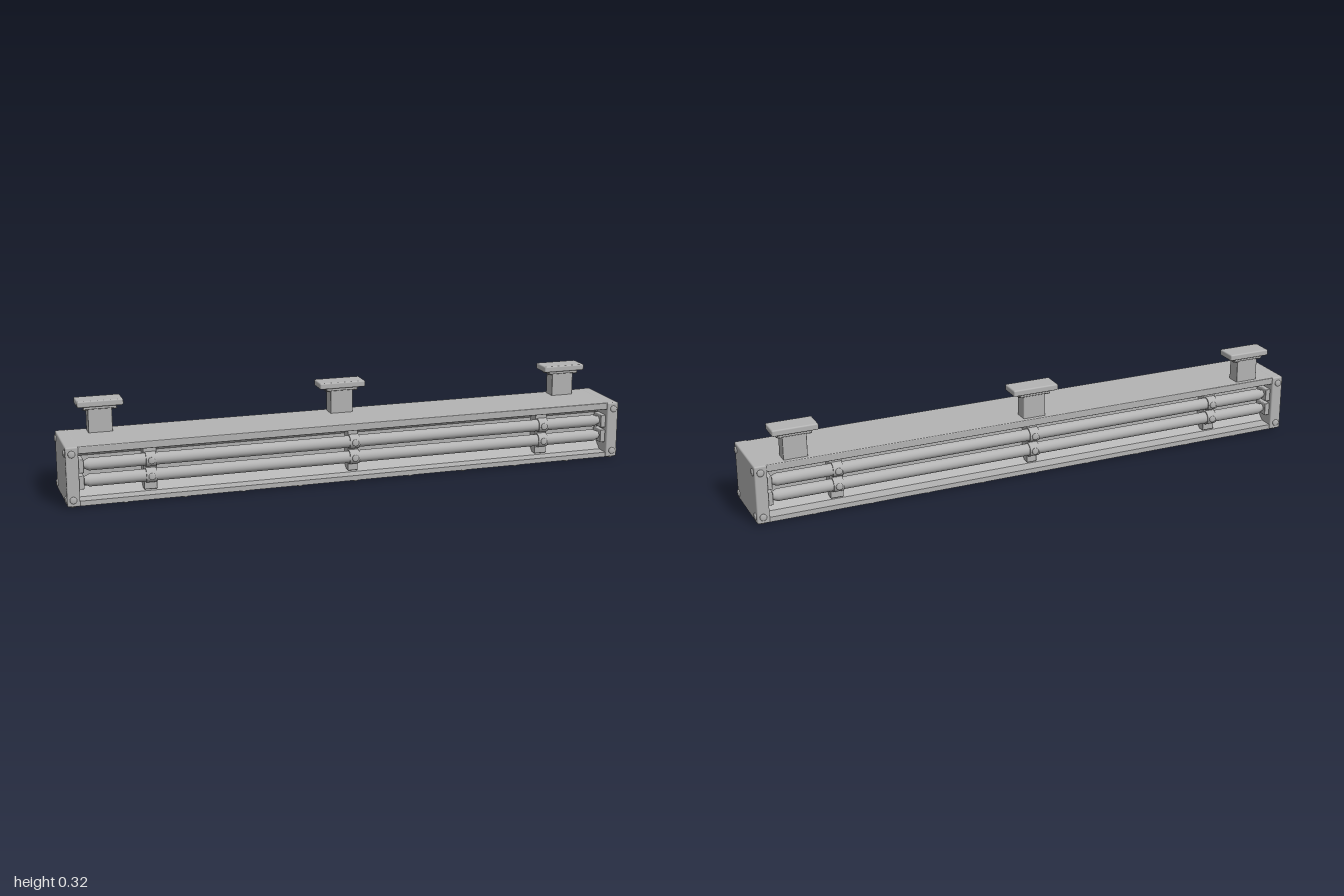
import * as THREE from 'three';
import { RoundedBoxGeometry } from 'three/addons/geometries/RoundedBoxGeometry.js';

export function createModel() {
  const model = new THREE.Group();
  const metal = new THREE.MeshStandardMaterial({ color: 0xb4b4b4 });
  metal.name = 'grey metal';

  const add = (name, geometry, x, y, z, parent = model) => {
    const mesh = new THREE.Mesh(geometry, metal);
    mesh.name = name;
    mesh.position.set(x, y, z);
    parent.add(mesh);
    return mesh;
  };
  const box = (name, w, h, d, x, y, z, parent, r = 0.003) =>
    add(name, new RoundedBoxGeometry(w, h, d, 2, r), x, y, z, parent);
  const rect = (shape, w, h) => {
    shape.moveTo(-w, -h).lineTo(w, -h).lineTo(w, h).lineTo(-w, h).closePath();
    return shape;
  };
  // Bolt head: a low cylinder with a bevelled crown, pointing along dir
  const boltShape = new THREE.LatheGeometry([
    [0.012, 0], [0.012, 0.003], [0.008, 0.005], [0, 0.005],
  ].map(p => new THREE.Vector2(...p)), 10);
  const up = new THREE.Vector3(0, 1, 0);
  const bolt = (x, y, z, dir, parent) => {
    const mesh = add('bolt', boltShape, x, y, z, parent);
    mesh.quaternion.setFromUnitVectors(up, new THREE.Vector3(...dir));
  };

  // Housing: roof, floor with a hatch opening, and the folded lips
  box('roof', 1.94, 0.025, 0.228, 0, 0.194, -0.001);
  const floorShape = rect(new THREE.Shape(), 0.97, 0.114);
  floorShape.holes.push(rect(new THREE.Path(), 0.07, 0.045));
  const floor = new THREE.ExtrudeGeometry(floorShape, { depth: 0.017, bevelEnabled: false });
  floor.rotateX(-Math.PI / 2);
  add('floor', floor, 0, 0.005, 0);
  const rimShape = rect(new THREE.Shape(), 0.085, 0.056);
  rimShape.holes.push(rect(new THREE.Path(), 0.07, 0.045));
  const rim = new THREE.ExtrudeGeometry(rimShape, { depth: 0.004, bevelEnabled: false });
  rim.rotateX(-Math.PI / 2);
  add('hatchRim', rim, 0, 0.002, 0);
  box('hatchPanel', 0.15, 0.006, 0.1, 0, 0.021, 0);

  // Central reflector, waisted towards the middle
  const waist = new THREE.Shape([
    [-0.07, 0.018], [0.07, 0.018], [0.035, 0.05], [0.035, 0.155],
    [0.07, 0.185], [-0.07, 0.185], [-0.035, 0.155], [-0.035, 0.05],
  ].map(p => new THREE.Vector2(...p)));
  const core = new THREE.ExtrudeGeometry(waist, { depth: 1.92, bevelEnabled: false });
  core.translate(0, 0, -0.96);
  core.rotateY(Math.PI / 2);
  add('reflector', core, 0, 0, 0);

  // End caps with corner bolts
  for (const s of [-1, 1]) {
    box('endCap', 0.043, 0.202, 0.236, s * 0.9735, 0.106, 0, model, 0.005);
    for (const f of [-1, 1]) {
      for (const y of [0.028, 0.184]) {
        bolt(s * 0.975, y, f * 0.118, [0, 0, f]);
        bolt(s * 0.995, y, f * 0.1, [s, 0, 0]);
      }
      bolt(s * 0.975, 0.005, f * 0.1, [0, -1, 0]);
    }
  }
  // Floor bolts along both edges
  for (let i = -4; i <= 4; i++) {
    for (const f of [-1, 1]) bolt(i * 0.2, 0.005, f * 0.1, [0, -1, 0]);
  }

  // Lamp tubes with end caps and clips, alike on front and back
  const tubeProfile = [
    [0, -0.945], [0.014, -0.945], [0.014, -0.93], [0.021, -0.915],
    [0.021, 0.915], [0.014, 0.93], [0.014, 0.945], [0, 0.945],
  ].map(p => new THREE.Vector2(...p));
  const tube = new THREE.LatheGeometry(tubeProfile, 20);
  tube.rotateZ(-Math.PI / 2);
  const collar = new THREE.CylinderGeometry(0.025, 0.025, 0.035, 20);
  collar.rotateZ(Math.PI / 2);
  for (const f of [-1, 1]) {
    for (const y of [0.136, 0.081]) {
      add('lampTube', tube, 0, y, f * 0.08);
      for (const x of [-0.71, 0, 0.71]) {
        add('tubeClip', collar, x, y, f * 0.08);
        bolt(x, y, f * 0.104, [0, 0, f]);
      }
      for (const s of [-1, 1]) box('tubeSocket', 0.02, 0.046, 0.06, s * 0.944, y, f * 0.075);
    }
    for (const x of [-0.71, 0, 0.71]) {
      box('clipBracket', x ? 0.045 : 0.036, 0.15, 0.045, x, 0.105, f * 0.055);
    }
  }

  // Hanging mounts near the back edge of the roof
  for (const x of [-0.85, 0, 0.85]) {
    const mount = new THREE.Group();
    mount.name = 'mount';
    mount.position.set(x, 0, -0.074);
    model.add(mount);
    box('mountPost', 0.082, 0.094, 0.05, 0, 0.246, 0, mount);
    box('mountFlange', 0.112, 0.011, 0.062, 0, 0.293, 0, mount);
    box('mountPlate', x ? 0.156 : 0.166, 0.022, 0.077, 0, 0.308, 0, mount, 0.005);
    for (const s of [-1, 1]) {
      for (const f of [-1, 1]) bolt(s * 0.048, 0.289, f * 0.018, [0, -1, 0], mount);
    }
  }
  return model;
}
